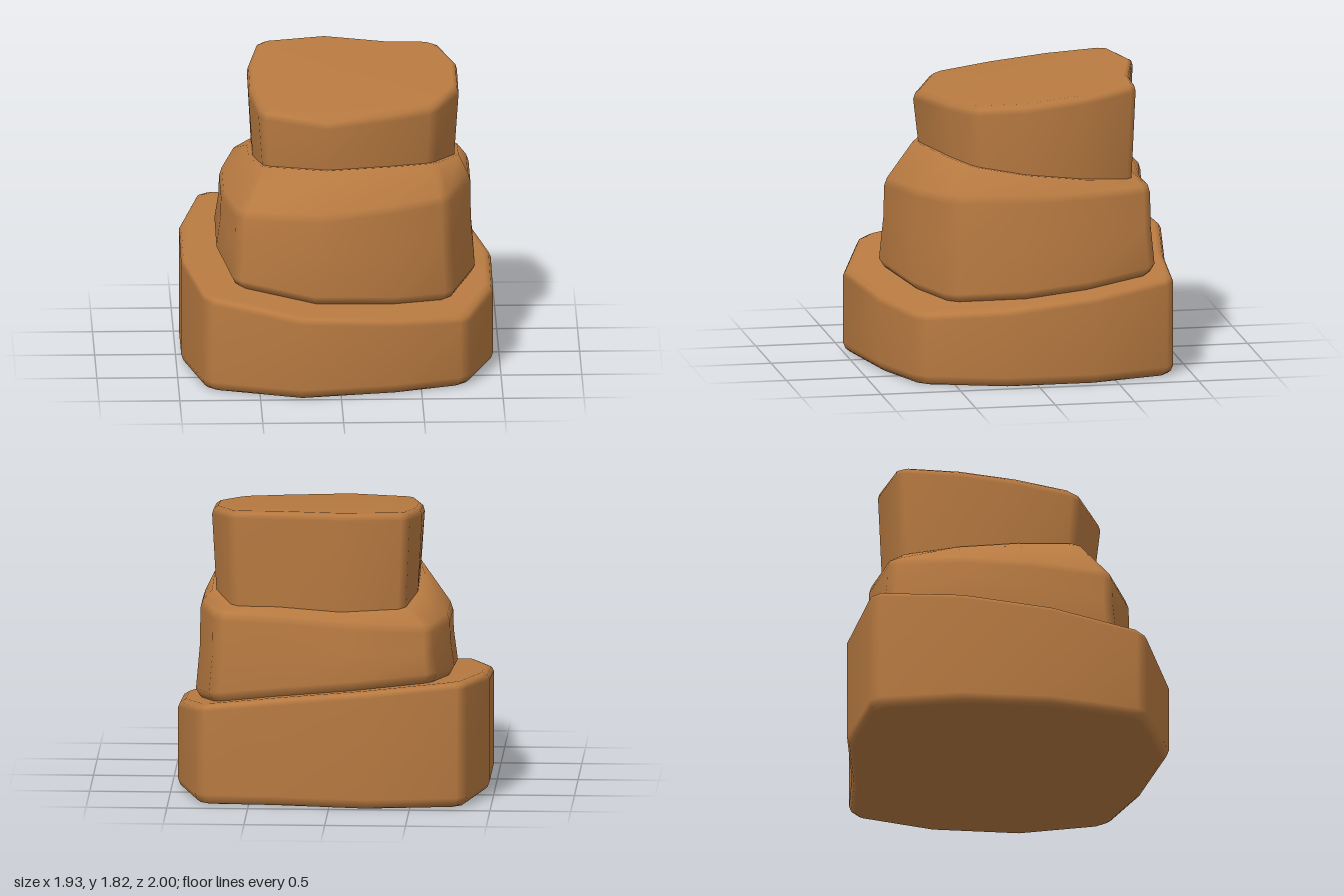
import * as THREE from 'three';

// Outlines as [x, z], starting at the back left corner and running clockwise seen from above.
const BASE = [[-0.84, -0.91], [-0.24, -1], [0.35, -0.91], [0.82, -0.88], [0.96, -0.36], [0.96, 0.2],
  [0.79, 0.73], [0.35, 0.89], [-0.25, 1], [-0.84, 0.79], [-0.97, 0.2], [-0.97, -0.36]];
const MIDDLE = [[-0.65, -0.8], [-0.14, -0.88], [0.34, -0.79], [0.74, -0.78], [0.85, -0.34], [0.85, 0.06],
  [0.7, 0.52], [0.34, 0.68], [-0.16, 0.79], [-0.66, 0.62], [-0.75, 0.12], [-0.75, -0.34]];
const TOP = [[-0.48, -0.71], [-0.07, -0.79], [0.34, -0.69], [0.63, -0.68], [0.75, -0.34], [0.75, 0.04],
  [0.6, 0.35], [0.34, 0.46], [-0.08, 0.59], [-0.49, 0.41], [-0.55, 0.03], [-0.55, -0.34]];

// Every third point is a corner: cut it into two points.
function chamfer(outline, size) {
  const n = outline.length;
  const towards = (p, q) => {
    const t = size / Math.hypot(q[0] - p[0], q[1] - p[1]);
    return [p[0] + (q[0] - p[0]) * t, p[1] + (q[1] - p[1]) * t];
  };
  return outline.flatMap((p, i) => i % 3 ? [p]
    : [towards(p, outline[(i + n - 1) % n]), towards(p, outline[(i + 1) % n])]);
}

// A ring is an outline scaled about its middle and laid on the plane y = h + sx * x + sz * z.
function ring(outline, scale, h, sx = 0, sz = 0) {
  const n = outline.length;
  const cx = outline.reduce((s, p) => s + p[0], 0) / n;
  const cz = outline.reduce((s, p) => s + p[1], 0) / n;
  return outline.map(([px, pz]) => {
    const x = cx + (px - cx) * scale, z = cz + (pz - cz) * scale;
    return new THREE.Vector3(x, h + sx * x + sz * z, z);
  });
}

// Closed stone lofted through rings from bottom to top, with softened edges.
function stone(name, rings, material) {
  const n = rings[0].length, index = [];
  const points = rings.flat();
  const centre = r => r.reduce((s, p) => s.add(p), new THREE.Vector3()).divideScalar(n);
  const low = points.push(centre(rings[0])) - 1;
  const high = points.push(centre(rings[rings.length - 1])) - 1;
  const last = (rings.length - 1) * n;
  for (let i = 0; i < n; i++) {
    const j = (i + 1) % n;
    for (let k = 0; k < last; k += n) {
      index.push(k + i, k + n + i, k + j, k + j, k + n + i, k + n + j);
    }
    index.push(low, i, j, high, last + j, last + i);
  }
  const geometry = new THREE.BufferGeometry().setFromPoints(points);
  geometry.setIndex(index);
  geometry.computeVertexNormals();
  const mesh = new THREE.Mesh(geometry, material);
  mesh.name = name;
  return mesh;
}

export function createModel() {
  const group = new THREE.Group();
  group.name = 'stackedRocks';
  const rock = new THREE.MeshStandardMaterial({ color: 0xb87a41 });
  rock.name = 'sandstone';

  const base = chamfer(BASE, 0.05), middle = chamfer(MIDDLE, 0.05), top = chamfer(TOP, 0.04);

  // Wide slab, its upper face falling to the front and the left
  group.add(stone('baseRock', [
    ring(base, 0.96, 0),
    ring(base, 0.985, 0.02),
    ring(base, 1, 0.06),
    ring(base, 1, 0.565, -0.1, -0.11),
    ring(base, 0.985, 0.595, -0.1, -0.11),
    ring(base, 0.95, 0.612, -0.1, -0.11),
  ], rock));

  // Middle boulder with a slight waist and a shoulder that rises to the top rock
  group.add(stone('middleRock', [
    ring(middle, 0.92, 0.58, -0.1, -0.11),
    ring(middle, 0.97, 0.625, -0.1, -0.11),
    ring(middle, 1, 0.67, -0.1, -0.11),
    ring(middle, 0.97, 0.9, -0.03, -0.05),
    ring(middle, 0.965, 1.085, 0.05, -0.02),
    ring(middle, 0.945, 1.135, 0.05, -0.02),
    ring(top, 1.0, 1.285, 0, 0.115),
  ], rock));

  // Top block with a sloping roof
  group.add(stone('topRock', [
    ring(top, 0.955, 1.24, 0, 0.115),
    ring(top, 0.96, 1.29, 0, 0.115),
    ring(top, 1, 1.685, 0, -0.115),
    ring(top, 0.985, 1.72, 0, -0.112),
    ring(top, 0.945, 1.74, 0, -0.107),
  ], rock));

  return group;
}
